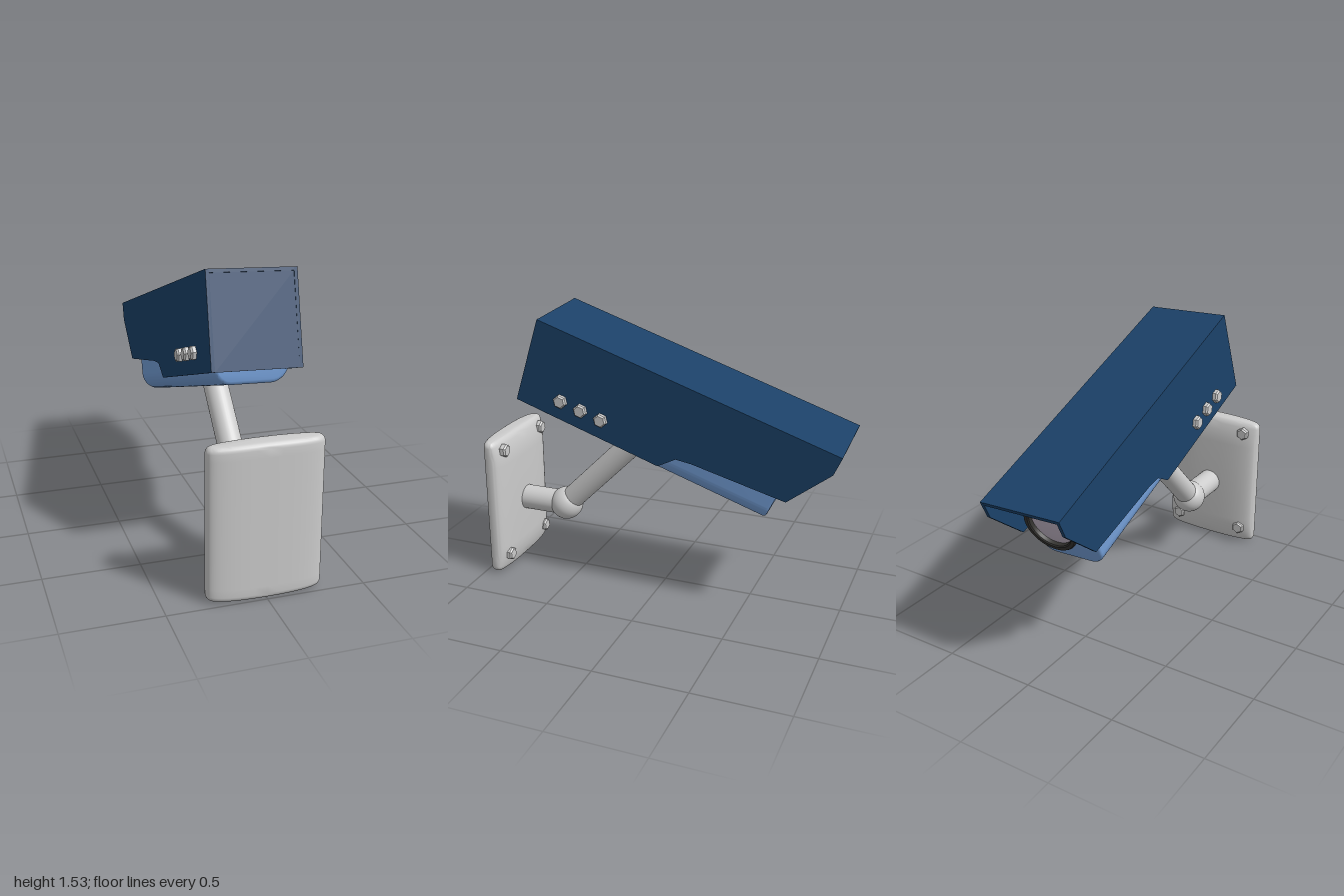
import * as THREE from 'three';
import { toCreasedNormals } from 'three/addons/utils/BufferGeometryUtils.js';

const paint = (color) => new THREE.MeshStandardMaterial({ color });
const grey = paint(0xcccccc);
const navy = paint(0x1b4168);
const blue = paint(0x749fd8);
const black = paint(0x33322f);
const glassPaint = paint(0xc0b4c4);

function add(parent, name, geometry, material) {
  const mesh = new THREE.Mesh(geometry, material);
  mesh.name = name;
  parent.add(mesh);
  return mesh;
}

// Round bar between two points
function bar(parent, name, a, b, radius) {
  const dir = b.clone().sub(a);
  const mesh = add(parent, name, new THREE.CylinderGeometry(radius, radius, dir.length(), 32), grey);
  mesh.position.copy(a).add(b).multiplyScalar(0.5);
  mesh.quaternion.setFromUnitVectors(new THREE.Vector3(0, 1, 0), dir.normalize());
}

// Hexagonal bolt head with a chamfered rim, base at the position, pointing along axis
function bolt(parent, name, position, axis) {
  const profile = [[0.03, -0.02], [0.038, 0], [0.038, 0.018], [0.03, 0.027], [0, 0.027]]
    .map(([r, y]) => new THREE.Vector2(r, y));
  const geometry = toCreasedNormals(new THREE.LatheGeometry(profile, 6), 0.3);
  const mesh = add(parent, name, geometry, grey);
  mesh.position.copy(position);
  mesh.quaternion.setFromUnitVectors(new THREE.Vector3(0, 1, 0), axis);
}

// Wall plate: flattened oval section, rounded ends, thinner towards the ends on the arm side
function plateGeometry() {
  const points = [new THREE.Vector2(0, -0.4)];
  const edge = 0.03;
  for (let i = 0; i <= 5; i++) {
    const t = (i / 5) * Math.PI / 2;
    points.push(new THREE.Vector2(1 - edge * (1 - Math.sin(t)), -0.4 + edge * (1 - Math.cos(t))));
  }
  for (const y of [-0.33, -0.29, -0.25]) points.push(new THREE.Vector2(1, y));
  const upper = points.map((p) => new THREE.Vector2(p.x, -p.y)).reverse();
  const geometry = new THREE.LatheGeometry([...points, ...upper], 64);
  const pos = geometry.attributes.position;
  const round = (c) => Math.sign(c) * Math.abs(c) ** (2 / 3);
  for (let i = 0; i < pos.count; i++) {
    const r = Math.hypot(pos.getX(i), pos.getZ(i));
    const angle = Math.atan2(pos.getZ(i), pos.getX(i));
    const inset = 1 - r;
    const y = pos.getY(i);
    const x = r < 0.5 ? 0 : round(Math.cos(angle)) * (0.29 - inset);
    let z = r < 0.5 ? 0 : round(Math.sin(angle)) * (0.067 - inset);
    if (z < 0) z *= 1 - 0.45 * (Math.max(0, Math.abs(y) - 0.25) / 0.15) ** 2;
    pos.setXYZ(i, x, y * (1 - 0.02 * (x / 0.29) ** 2), z);
  }
  return toCreasedNormals(geometry, 0.6);
}

function createMount() {
  const mount = new THREE.Group();
  mount.name = 'wallMount';
  add(mount, 'wallPlate', plateGeometry(), grey).position.set(0, 0.4, 0.932);
  for (const x of [-0.21, 0.21]) for (const y of [0.1, 0.735]) {
    bolt(mount, 'plateBolt', new THREE.Vector3(x, y, 0.884), new THREE.Vector3(0, 0, -1));
  }
  const joint = new THREE.Vector3(0, 0.375, 0.61);
  bar(mount, 'armStub', new THREE.Vector3(0, 0.375, 0.9), joint, 0.07);
  add(mount, 'ballJoint', new THREE.SphereGeometry(0.094, 40, 24), grey).position.copy(joint);
  bar(mount, 'arm', joint, new THREE.Vector3(0, 0.89, 0.1), 0.065);
  return mount;
}

// Camera body: rounded box section swept along z, ends slightly slanted
function bodyGeometry() {
  const w = 0.175, bottom = -0.228, top = 0.23, r = 0.075;
  const s = new THREE.Shape();
  s.absarc(w - r, bottom + r, r, -Math.PI / 2, 0);
  s.absarc(w - r, top - r, r, 0, Math.PI / 2);
  s.absarc(-w + r, top - r, r, Math.PI / 2, Math.PI);
  s.absarc(-w + r, bottom + r, r, Math.PI, Math.PI * 1.5);
  const geometry = new THREE.ExtrudeGeometry(s, {
    depth: 1.33, curveSegments: 10, bevelSize: 0.015, bevelThickness: 0.015, bevelSegments: 3,
  });
  geometry.translate(0, 0, -0.7);
  const pos = geometry.attributes.position;
  for (let i = 0; i < pos.count; i++) {
    const rise = pos.getY(i) + 0.243;
    const z = pos.getZ(i);
    pos.setZ(i, z + (z > 0 ? Math.min(rise * 0.3, 0.05) : -rise * 0.1));
  }
  return toCreasedNormals(geometry, 0.6);
}

function createCamera() {
  const camera = new THREE.Group();
  camera.name = 'camera';
  const half = 0.228, wall = 0.018;

  // Sunshield: two cut side panels, roof and rear wall
  const outline = [[0.746, 0.294], [0.742, -0.181], [-0.106, -0.186], [-0.184, -0.104],
    [-0.27, -0.09], [-0.788, -0.058], [-0.947, 0.19], [-0.956, 0.294]];
  const side = new THREE.Shape(outline.map(([z, y]) => new THREE.Vector2(z, y)));
  const panel = new THREE.ExtrudeGeometry(side, { depth: wall, bevelEnabled: false });
  panel.rotateY(-Math.PI / 2);
  add(camera, 'shieldLeftSide', panel, navy).position.x = half;
  add(camera, 'shieldRightSide', panel, navy).position.x = -half + wall;
  const inner = 2 * (half - wall);
  add(camera, 'shieldRoof', new THREE.BoxGeometry(inner, wall, 1.7), navy)
    .position.set(0, 0.294 - wall / 2, -0.105);
  add(camera, 'shieldRearWall', new THREE.BoxGeometry(inner, 0.457, wall), navy)
    .position.set(0, 0.047, 0.742 - wall / 2);

  // Side bolts, which carry the shield on the body
  for (const s of [-1, 1]) for (const z of [0.5, 0.38, 0.26]) {
    bolt(camera, 'shieldBolt', new THREE.Vector3(s * half, -0.079, z), new THREE.Vector3(s, 0, 0));
    const spacer = add(camera, 'boltSpacer', new THREE.CylinderGeometry(0.02, 0.02, 0.05, 12), grey);
    spacer.rotation.z = Math.PI / 2;
    spacer.position.set(s * 0.2, -0.079, z);
  }

  add(camera, 'body', bodyGeometry(), blue);

  // Lens barrel and glass, facing -z
  const ring = [[0.15, 0], [0.15, 0.105], [0.144, 0.113], [0.126, 0.113], [0.12, 0.107], [0.12, 0.06]]
    .map(([r, y]) => new THREE.Vector2(r, y));
  const lens = new THREE.Group();
  lens.name = 'lens';
  lens.rotation.x = -Math.PI / 2;
  lens.position.set(0, 0.055, -0.7);
  add(lens, 'lensBarrel', toCreasedNormals(new THREE.LatheGeometry(ring, 48), 0.5), black);
  const glass = [[0.121, 0.085], [0.09, 0.094], [0.05, 0.1], [0, 0.102]]
    .map(([r, y]) => new THREE.Vector2(r, y));
  add(lens, 'lensGlass', new THREE.LatheGeometry(glass, 48), glassPaint);
  camera.add(lens);

  // Tilted down, with a slight turn and roll
  camera.rotation.set(-0.331, 0.022, -0.035);
  camera.position.set(0.01, 1, 0);
  return camera;
}

export function createModel() {
  const model = new THREE.Group();
  model.name = 'securityCamera';
  model.add(createMount(), createCamera());
  return model;
}
